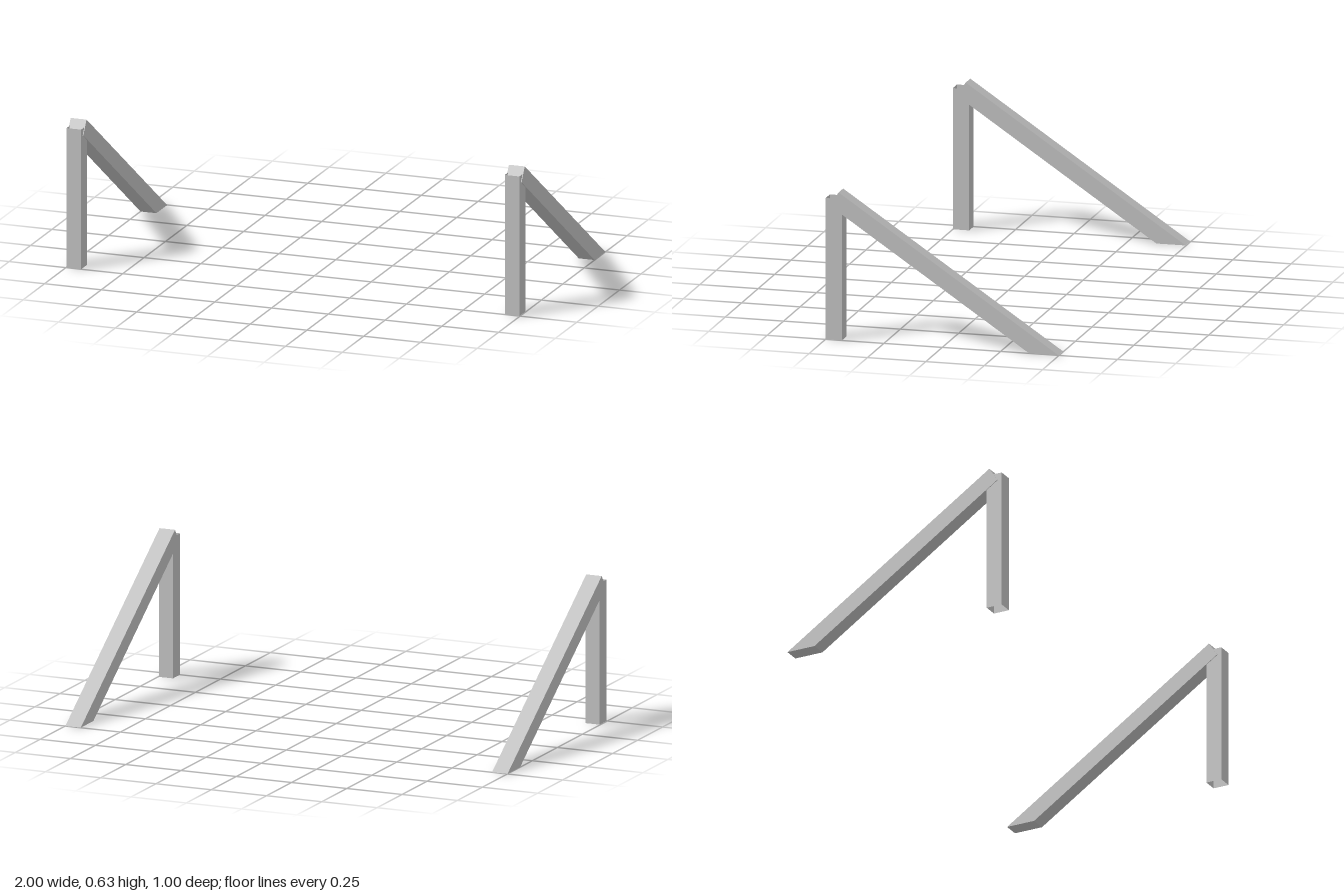
import * as THREE from 'three';

export function createModel() {
  const model = new THREE.Group();
  model.name = 'supportFrames';

  const grey = new THREE.MeshStandardMaterial({ color: 0xc0c0c0, side: THREE.DoubleSide });
  grey.name = 'plain grey';

  const braceWidth = 0.07, postWidth = 0.064, postHeight = 0.6;
  const postFront = 0.5, postBack = 0.43;

  // Sloping brace: profile in (z, y), cut flat at the floor, square at the top
  const profile = new THREE.Shape([
    [-0.498, 0], [-0.372, 0], [0.482, 0.57], [0.444, 0.628],
  ].map(([z, y]) => new THREE.Vector2(z, y)));
  const braceGeometry = new THREE.ExtrudeGeometry(profile, { depth: braceWidth, bevelEnabled: false });
  braceGeometry.translate(0, 0, -braceWidth / 2).rotateY(-Math.PI / 2);

  // Hollow upright post: four walls, open at top and bottom
  const postGeometry = new THREE.BoxGeometry(postWidth, postHeight, postFront - postBack);
  postGeometry.translate(0, postHeight / 2, (postFront + postBack) / 2);
  const index = Array.from(postGeometry.index.array);
  postGeometry.setIndex([...index.slice(0, 12), ...index.slice(24)]); // drop the two end caps
  postGeometry.clearGroups();

  for (const [side, sign] of [['left', 1], ['right', -1]]) {
    const frame = new THREE.Group();
    frame.name = side + 'Frame';
    frame.position.x = sign * (1 - braceWidth / 2);
    const post = new THREE.Mesh(postGeometry, grey);
    post.name = side + 'Post';
    const brace = new THREE.Mesh(braceGeometry, grey);
    brace.name = side + 'Brace';
    frame.add(post, brace);
    model.add(frame);
  }
  return model;
}
